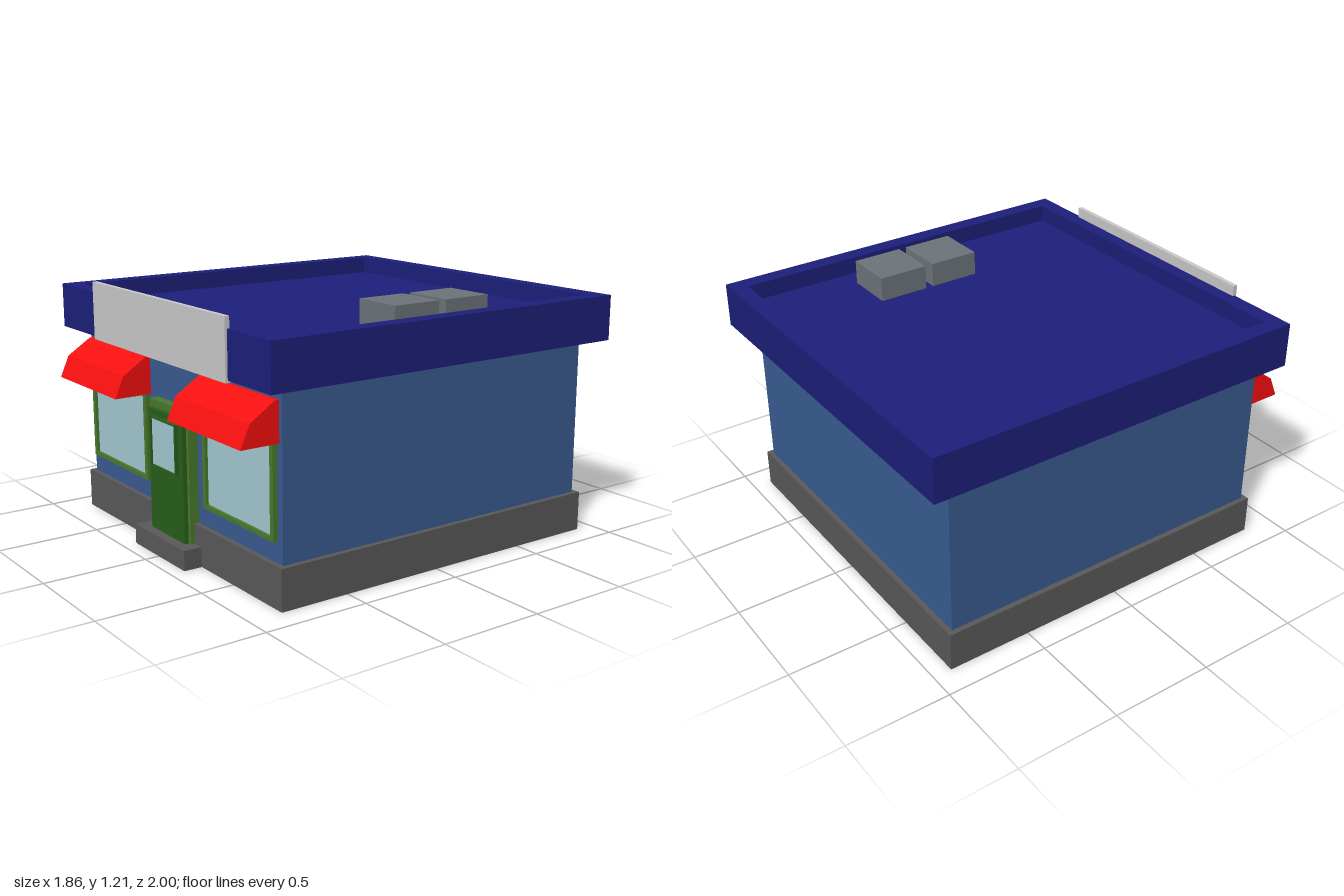
import * as THREE from 'three';

const mat = (color) => new THREE.MeshStandardMaterial({ color, flatShading: true, side: THREE.DoubleSide });
const M = {
  wall: mat(0x3a5c92), navy: mat(0x1c1f7a), base: mat(0x5a5a5a), red: mat(0xfa1010),
  frame: mat(0x4a7a2c), door: mat(0x28601a), glass: mat(0xa4cbd3), unit: mat(0x6d757b), sign: mat(0xcccccc),
};

function add(parent, name, geometry, material) {
  const mesh = new THREE.Mesh(geometry, material);
  mesh.name = name;
  parent.add(mesh);
  return mesh;
}

// Box given by its limits on each axis
function box(parent, name, material, x0, x1, y0, y1, z0, z1) {
  const g = new THREE.BoxGeometry(x1 - x0, y1 - y0, z1 - z0);
  g.translate((x0 + x1) / 2, (y0 + y1) / 2, (z0 + z1) / 2);
  return add(parent, name, g, material);
}

const corners = ([a0, a1, b0, b1]) =>
  [[a0, b0], [a1, b0], [a1, b1], [a0, b1]].map(([a, b]) => new THREE.Vector2(a, b));

// Rectangular ring extruded along +z; rectangles are [x0, x1, y0, y1]
function ringGeometry(outer, inner, depth) {
  const shape = new THREE.Shape(corners(outer));
  shape.holes.push(new THREE.Path(corners(inner)));
  return new THREE.ExtrudeGeometry(shape, { depth, bevelEnabled: false });
}

// Upright ring facing the front
function frame(parent, name, material, outer, inner, z0, z1) {
  return add(parent, name, ringGeometry(outer, inner, z1 - z0).translate(0, 0, z0), material);
}

// Level ring; rectangles are [x0, x1, z0, z1]
function levelRing(parent, name, material, outer, inner, y0, y1) {
  const flip = ([a, b, c, d]) => [a, b, -d, -c];
  const g = ringGeometry(flip(outer), flip(inner), y1 - y0);
  return add(parent, name, g.rotateX(-Math.PI / 2).translate(0, y0, 0), material);
}

// Hollow awning, open below and at the wall
function awning(parent, x0, x1) {
  const g = new THREE.Group();
  g.name = 'awning';
  const profile = [[0.74, 0.89], [0.835, 0.888], [0.955, 0.81], [1.0, 0.707]];
  const pos = [];
  for (let i = 0; i < profile.length - 1; i++) {
    const [za, ya] = profile[i], [zb, yb] = profile[i + 1];
    pos.push(x0, ya, za, x0, yb, zb, x1, yb, zb, x0, ya, za, x1, yb, zb, x1, ya, za);
  }
  const sheet = new THREE.BufferGeometry();
  sheet.setAttribute('position', new THREE.Float32BufferAttribute(pos, 3));
  sheet.computeVertexNormals();
  add(g, 'awningCover', sheet, M.red);
  const side = new THREE.Shape([...profile, [0.74, 0.707]].map(([z, y]) => new THREE.Vector2(-z, y)));
  for (const x of [x0, x1]) {
    add(g, 'awningEnd', new THREE.ShapeGeometry(side).rotateY(Math.PI / 2).translate(x, 0, 0), M.red);
  }
  parent.add(g);
}

export function createModel() {
  const model = new THREE.Group();
  model.name = 'shop';
  const walls = [-0.85, 0.85, -0.885, 0.815];

  // Foundation band and thin walls, open underneath
  levelRing(model, 'foundation', M.base, [-0.875, 0.875, -0.91, 0.84], walls, 0, 0.19);
  const footprint = corners(walls);
  footprint.forEach((a, i) => {
    const b = footprint[(i + 1) % 4];
    const g = new THREE.PlaneGeometry(a.distanceTo(b), 0.88);
    g.rotateY(-Math.atan2(b.y - a.y, b.x - a.x) + Math.PI);
    g.translate((a.x + b.x) / 2, 0.63, (a.y + b.y) / 2);
    add(model, 'wall', g, M.wall);
  });

  // Overhanging roof with parapet and sunken deck
  const roof = [-0.93, 0.93, -1, 0.92];
  levelRing(model, 'eaves', M.navy, roof, walls, 0.94, 1.07);
  levelRing(model, 'parapet', M.navy, roof, [-0.85, 0.85, -0.92, 0.84], 1.07, 1.155);
  const deck = new THREE.PlaneGeometry(1.7, 1.76).rotateX(-Math.PI / 2).translate(0, 1.071, -0.04);
  add(model, 'roofDeck', deck, M.navy);
  for (const z of [-0.39, -0.1]) box(model, 'rooftopUnit', M.unit, 0.49, 0.74, 1.07, 1.19, z, z + 0.25);
  box(model, 'signBoard', M.sign, -0.57, 0.615, 0.93, 1.207, 0.908, 0.931);

  // Shop windows with awnings
  for (const c of [-0.533, 0.535]) {
    frame(model, 'windowFrame', M.frame, [c - 0.279, c + 0.279, 0.285, 0.745],
      [c - 0.254, c + 0.254, 0.305, 0.725], 0.72, 0.838);
    const glass = new THREE.PlaneGeometry(0.51, 0.42).translate(c, 0.515, 0.824);
    add(model, 'windowGlass', glass, M.glass);
    awning(model, c - 0.292, c + 0.294);
  }

  // Door, its frame and window, and the step
  const door = new THREE.Group();
  door.name = 'entrance';
  model.add(door);
  frame(door, 'doorFrame', M.frame, [-0.163, 0.18, 0.09, 0.71], [-0.144, 0.161, 0.09, 0.675], 0.72, 0.862);
  box(door, 'doorLeaf', M.door, -0.144, 0.161, 0.095, 0.675, 0.82, 0.882);
  frame(door, 'doorWindowFrame', M.door, [-0.106, 0.12, 0.408, 0.644], [-0.1, 0.113, 0.415, 0.636], 0.87, 0.898);
  const pane = new THREE.PlaneGeometry(0.214, 0.222).translate(0.0065, 0.5255, 0.89);
  add(door, 'doorGlass', pane, M.glass);
  box(door, 'step', M.base, -0.22, 0.235, 0, 0.095, 0.71, 0.93);
  return model;
}
